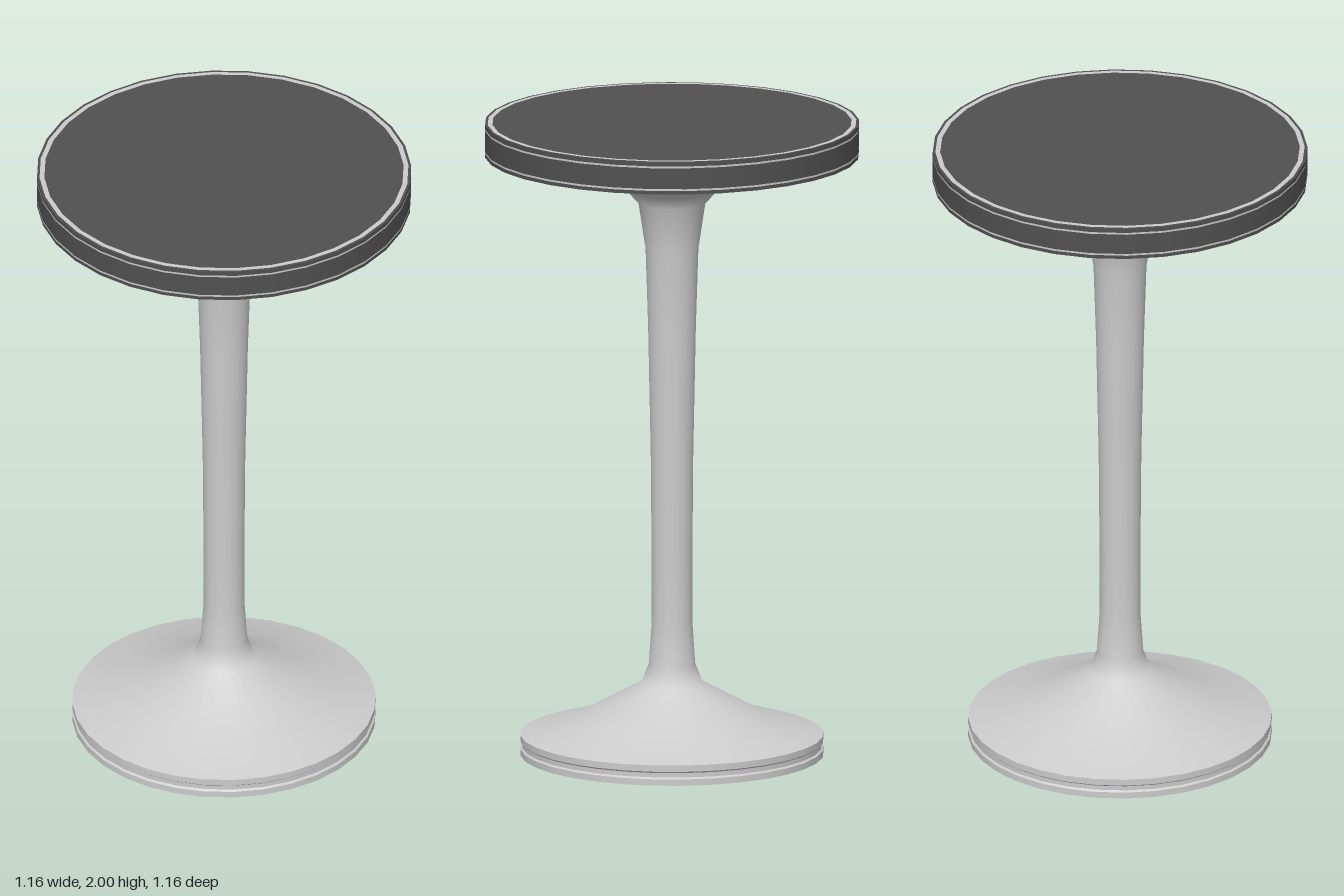
import * as THREE from 'three';

const SIDES = 32;
const grey = new THREE.MeshStandardMaterial({ color: 0xcccccc });
const dark = new THREE.MeshStandardMaterial({ color: 0x505050 });

// Revolves a [radius, height] profile, listed from bottom to top
function lathe(parent, name, profile, material) {
  const points = profile.map(([r, y]) => new THREE.Vector2(r, y));
  const mesh = new THREE.Mesh(new THREE.LatheGeometry(points, SIDES), material);
  mesh.name = name;
  parent.add(mesh);
}

// Revolves every profile segment on its own, so its edges stay sharp
function sharpLathe(parent, name, profile, material) {
  const group = new THREE.Group();
  group.name = name;
  for (let i = 0; i < profile.length - 1; i++) {
    lathe(group, name + 'Face' + (i + 1), [profile[i], profile[i + 1]], material);
  }
  parent.add(group);
}

export function createModel() {
  const model = new THREE.Group();
  model.name = 'pedestalTable';

  // Round foot with a shallow groove in its rim
  sharpLathe(model, 'baseRim', [
    [0, 0], [0.47, 0], [0.47, 0.02], [0.464, 0.025],
    [0.464, 0.039], [0.47, 0.044], [0.47, 0.064],
  ], grey);

  // Flared pedestal, one smooth surface from foot to tabletop
  lathe(model, 'pedestal', [
    [0.47, 0.064], [0.3, 0.115], [0.095, 0.226], [0.072, 0.285],
    [0.063, 0.42], [0.063, 0.6], [0.066, 0.95], [0.074, 1.35],
    [0.082, 1.6], [0.104, 1.745], [0.142, 1.787], [0.35, 1.87],
    [0.565, 1.899],
  ], grey);

  // Dark tabletop: lower lip, main band, upper lip and top disc
  sharpLathe(model, 'lowerLip', [[0.565, 1.897], [0.58, 1.897], [0.58, 1.908]], dark);
  lathe(model, 'edgeBand', [[0.58, 1.914], [0.58, 1.98]], dark);
  sharpLathe(model, 'upperLip', [[0.58, 1.986], [0.58, 2], [0.572, 2]], dark);
  lathe(model, 'topDisc', [[0.557, 2], [0.0, 2]], dark);

  // Bright trim lines on the edge and the top
  for (const y of [1.908, 1.98]) {
    lathe(model, 'edgeTrim', [[0.58, y], [0.58, y + 0.006]], grey);
  }
  lathe(model, 'topTrim', [[0.572, 2], [0.557, 2]], grey);

  return model;
}
